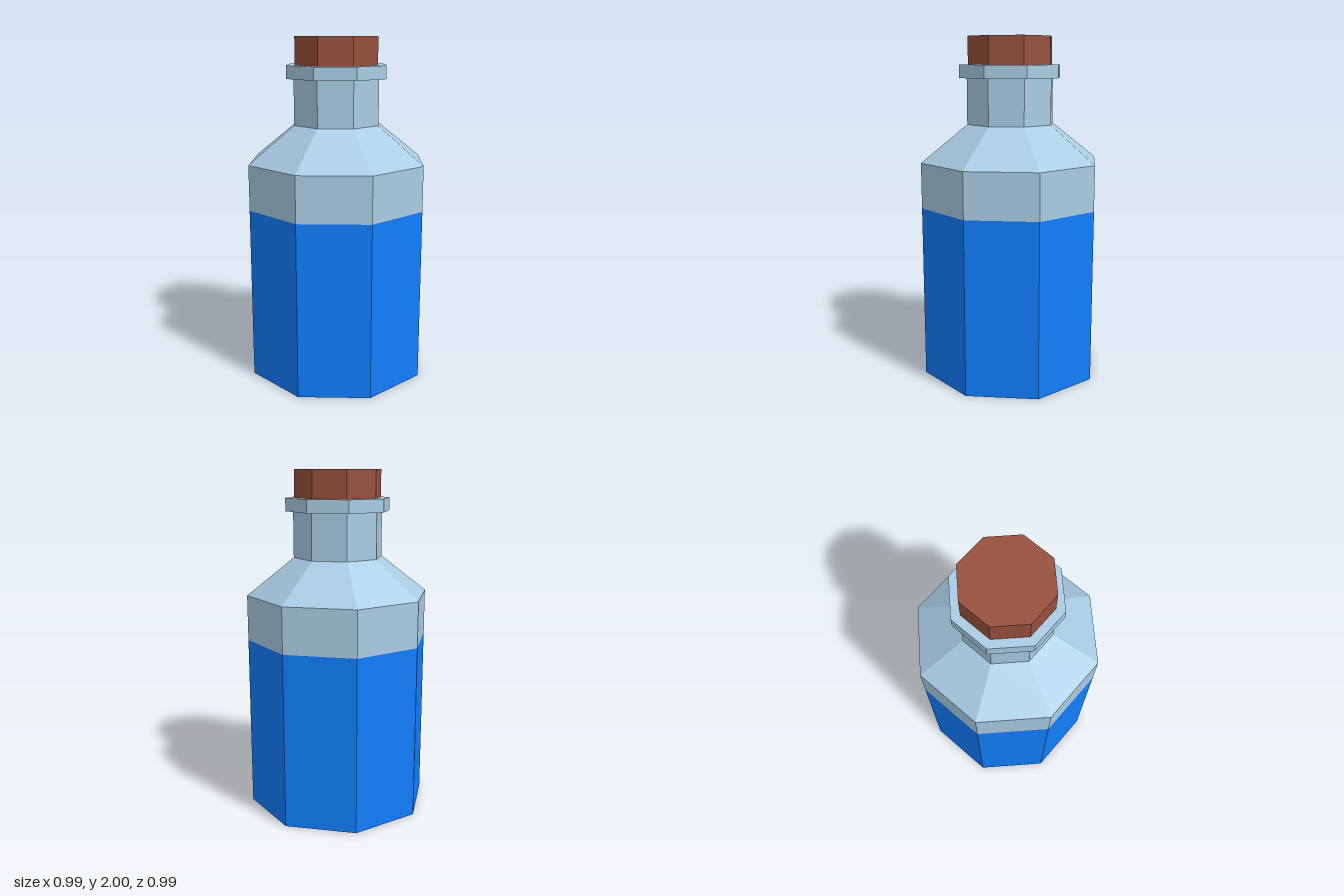
import * as THREE from 'three';

const SIDES = 8;
// Flat-to-flat half widths become corner radii of the octagon
const corner = (apothem) => apothem / Math.cos(Math.PI / SIDES);

// Faceted octagonal part from a bottom-to-top profile of [half width, height]
function octagonal(name, color, profile) {
  const points = profile.map(([w, y]) => new THREE.Vector2(corner(w), y));
  const geometry = new THREE.LatheGeometry(points, SIDES, Math.PI / SIDES);
  const material = new THREE.MeshStandardMaterial({ color, flatShading: true });
  const mesh = new THREE.Mesh(geometry, material);
  mesh.name = name;
  return mesh;
}

export function createModel() {
  const group = new THREE.Group();
  group.name = 'corkedBottle';

  const body = 0.497, neck = 0.242, rim = 0.283, cork = 0.235;
  const fill = 1.02, rimTop = 1.84;

  // Filled lower part with closed base
  group.add(octagonal('liquid', 0x117dfb, [[0, 0], [body, 0], [body, fill]]));

  // Empty glass above the liquid: wall, shoulder, neck and rim
  group.add(octagonal('glass', 0xa8cce3, [
    [body, fill], [body, 1.285], [neck, 1.5], [neck, 1.765],
    [rim, 1.765], [rim, rimTop], [cork, rimTop],
  ]));

  // Stopper
  group.add(octagonal('cork', 0x964f3a, [[cork, rimTop], [cork, 2], [0, 2]]));

  return group;
}
